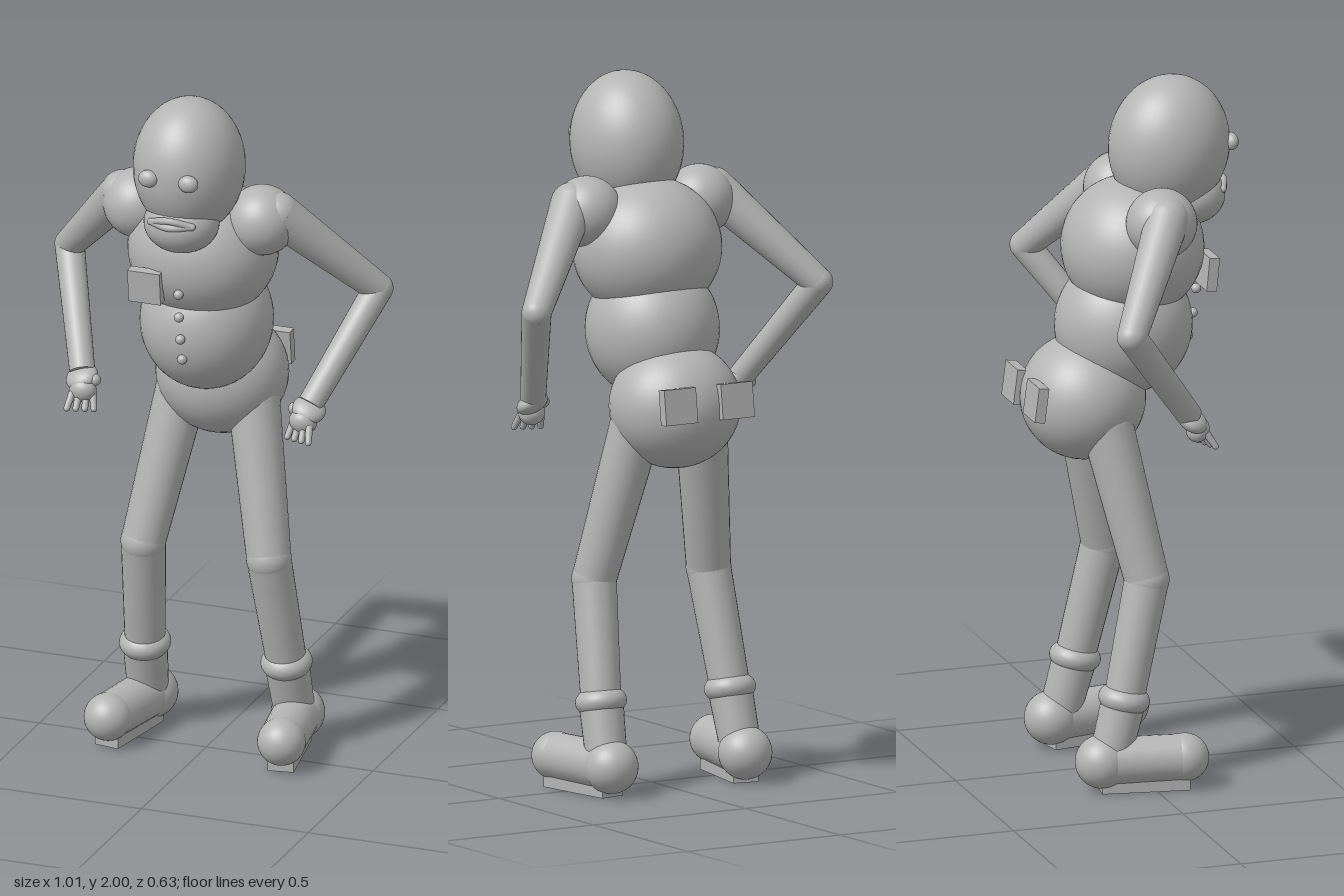
import * as THREE from 'three';

const clay = new THREE.MeshStandardMaterial({ color: 0xb4b4b4 });
clay.name = 'clayGrey';

const V = (p) => new THREE.Vector3(...p);

function add(parent, name, geometry, pos, rot = [0, 0, 0]) {
  const mesh = new THREE.Mesh(geometry, clay);
  mesh.name = name;
  mesh.position.set(...pos);
  mesh.rotation.set(...rot);
  parent.add(mesh);
  return mesh;
}

// Ellipsoid with radii r = [x, y, z]
function ball(parent, name, pos, r, rot) {
  const mesh = add(parent, name, new THREE.SphereGeometry(1, 40, 28), pos, rot);
  mesh.scale.set(...r);
  return mesh;
}

// Tapered rod from a to b
function rod(parent, name, a, b, ra, rb) {
  const from = V(a), dir = V(b).sub(from);
  const mid = from.clone().addScaledVector(dir, 0.5);
  const mesh = add(parent, name, new THREE.CylinderGeometry(rb, ra, dir.length(), 28), mid.toArray());
  mesh.quaternion.setFromUnitVectors(new THREE.Vector3(0, 1, 0), dir.normalize());
  return mesh;
}

function createArm(s) {
  const arm = new THREE.Group();
  arm.name = s > 0 ? 'leftArm' : 'rightArm';
  const m = (x, y, z) => [s * x, y, z];
  const shoulder = m(0.232, 1.655, 0.045), elbow = m(0.463, 1.397, -0.138), wrist = m(0.342, 1.11, 0.075);
  ball(arm, 'shoulder', m(0.185, 1.63, 0.045), [0.1, 0.1, 0.1]);
  ball(arm, 'shoulderCap', shoulder, [0.062, 0.062, 0.062]);
  rod(arm, 'upperArm', shoulder, elbow, 0.062, 0.042);
  ball(arm, 'elbow', elbow, [0.042, 0.042, 0.042]);
  rod(arm, 'forearm', elbow, wrist, 0.042, 0.036);
  ball(arm, 'cuff', m(0.34, 1.095, 0.083), [0.048, 0.028, 0.045], [0.45, 0, s * -0.3]);
  ball(arm, 'palm', m(0.33, 1.065, 0.102), [0.04, 0.036, 0.032], [0.45, 0, s * -0.3]);
  ball(arm, 'thumb', m(0.3, 1.095, 0.09), [0.018, 0.018, 0.018]);
  for (let i = 0; i < 4; i++) {
    const tip = m(0.362 - i * 0.024, 1.02, 0.144 - i * 0.008);
    rod(arm, 'finger', m(0.355 - i * 0.018, 1.06, 0.118 - i * 0.006), tip, 0.011, 0.009);
    ball(arm, 'fingertip', tip, [0.009, 0.009, 0.009]);
  }
  return arm;
}

function createLeg(s) {
  const leg = new THREE.Group();
  leg.name = s > 0 ? 'leftLeg' : 'rightLeg';
  const m = (x, y, z) => [s * x, y, z];
  const hip = m(0.108, 1.03, -0.09), knee = m(0.188, 0.595, 0), ankle = m(0.212, 0.26, -0.075);
  const heel = m(0.22, 0.085, -0.143), toe = m(0.26, 0.087, 0.088);
  ball(leg, 'hip', hip, [0.074, 0.074, 0.074]);
  rod(leg, 'thigh', hip, knee, 0.074, 0.063);
  ball(leg, 'knee', knee, [0.064, 0.064, 0.064]);
  rod(leg, 'shin', knee, ankle, 0.063, 0.057);
  ball(leg, 'sock', ankle, [0.073, 0.046, 0.073], [0.2, 0, 0]);
  rod(leg, 'ankle', ankle, m(0.22, 0.09, -0.12), 0.063, 0.058);
  ball(leg, 'heel', heel, [0.076, 0.076, 0.076]);
  rod(leg, 'foot', heel, toe, 0.068, 0.066);
  ball(leg, 'toe', toe, [0.068, 0.068, 0.068]);
  // Flat strip under the shoe
  add(leg, 'sole', new THREE.BoxGeometry(0.075, 0.035, 0.25), m(0.24, 0.0175, -0.025), [0, s * 0.17, 0]);
  return leg;
}

export function createModel() {
  const model = new THREE.Group();
  model.name = 'figure';

  // Body
  ball(model, 'chest', [0, 1.515, 0.022], [0.214, 0.2, 0.2]);
  ball(model, 'belly', [0, 1.29, -0.005], [0.187, 0.2, 0.195]);
  ball(model, 'pelvis', [0, 1.09, -0.125], [0.189, 0.178, 0.176]);
  ball(model, 'neck', [0, 1.64, 0.09], [0.1, 0.09, 0.09]);

  // Head and face
  ball(model, 'head', [0, 1.8, 0.13], [0.156, 0.2, 0.172], [0.12, 0, 0]);
  ball(model, 'jaw', [0, 1.65, 0.19], [0.107, 0.085, 0.1]);
  for (const s of [-1, 1]) ball(model, 'eye', [s * 0.06, 1.81, 0.293], [0.029, 0.025, 0.02]);
  const lip = (y) => new THREE.CatmullRomCurve3([[-0.062, 1.672, 0.268], [0, y, 0.288], [0.062, 1.672, 0.268]].map(V));
  add(model, 'upperLip', new THREE.TubeGeometry(lip(1.688), 20, 0.01, 10), [0, 0, 0]);
  add(model, 'lowerLip', new THREE.TubeGeometry(lip(1.667), 20, 0.01, 10), [0, 0, 0]);
  for (const s of [-1, 1]) ball(model, 'mouthCorner', [s * 0.062, 1.672, 0.268], [0.01, 0.01, 0.01]);

  // Buttons down the front
  [[1.44, 0.214], [1.37, 0.21], [1.3, 0.2], [1.235, 0.186]].forEach(([y, z]) =>
    ball(model, 'button', [0, y, z], [0.014, 0.014, 0.014]));

  // Pockets
  add(model, 'chestPocket', new THREE.BoxGeometry(0.096, 0.096, 0.03), [-0.099, 1.452, 0.211], [0.1, 0, 0]);
  for (const s of [-1, 1]) {
    add(model, 'backPocket', new THREE.BoxGeometry(0.104, 0.1, 0.03), [s * 0.093, 1.118, -0.294], [0.13, 0, 0]);
    model.add(createArm(s), createLeg(s));
  }
  return model;
}
